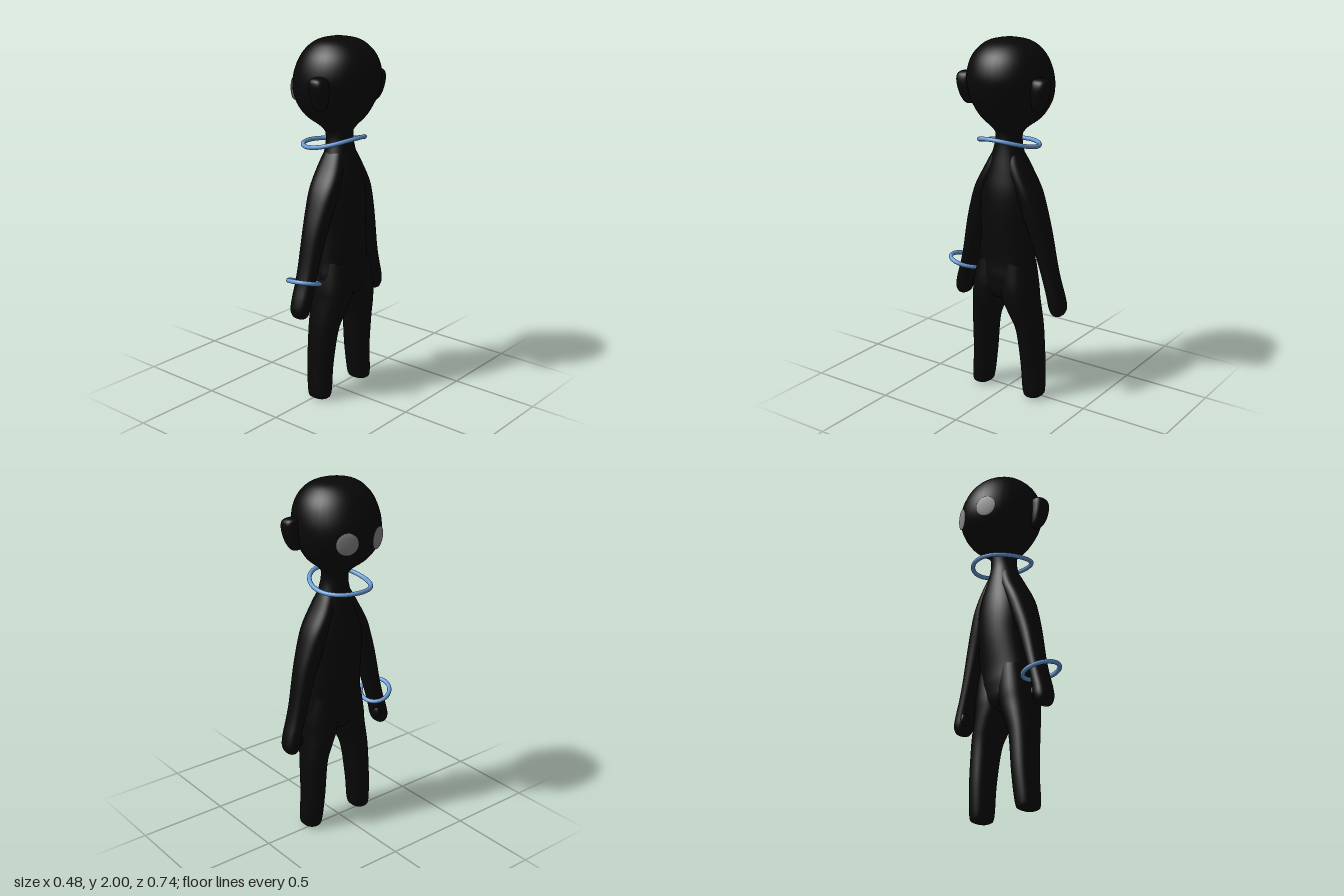
import * as THREE from 'three';

const black = new THREE.MeshStandardMaterial({ color: 0x080808 });
const blue = new THREE.MeshStandardMaterial({ color: 0x6a9fdc });
const grey = new THREE.MeshStandardMaterial({ color: 0x8c8c8c });

// Smooth closed loft through horizontal sections [y, centreX, centreZ, radiusX, radiusZ], bottom to top
function loft(sections, power = 2, steps = 5, sides = 36) {
  const centres = new THREE.CatmullRomCurve3(sections.map(s => new THREE.Vector3(s[1], s[0], s[2])), false, 'catmullrom', 0.5);
  const radii = new THREE.CatmullRomCurve3(sections.map(s => new THREE.Vector3(s[3], 0, s[4])), false, 'catmullrom', 0.5);
  const rows = (sections.length - 1) * steps;
  const pos = [], idx = [];
  const bulge = v => Math.sign(v) * Math.abs(v) ** (2 / power);
  for (let i = 0; i <= rows; i++) {
    const c = centres.getPoint(i / rows), r = radii.getPoint(i / rows);
    for (let j = 0; j < sides; j++) {
      const a = (j / sides) * Math.PI * 2;
      pos.push(c.x + Math.max(r.x, 0.0005) * bulge(Math.cos(a)), c.y, c.z + Math.max(r.z, 0.0005) * bulge(Math.sin(a)));
      if (i < rows) {
        const p = i * sides + j, q = i * sides + ((j + 1) % sides);
        idx.push(p, p + sides, q, q, p + sides, q + sides);
      }
    }
  }
  const g = new THREE.BufferGeometry();
  g.setAttribute('position', new THREE.Float32BufferAttribute(pos, 3));
  g.setIndex(idx);
  g.computeVertexNormals();
  return g;
}

// Closed, slightly bent ring from a function of angle
function ring(point) {
  const pts = Array.from({ length: 16 }, (_, i) => new THREE.Vector3(...point((i / 16) * Math.PI * 2)));
  return new THREE.TubeGeometry(new THREE.CatmullRomCurve3(pts, true), 96, 0.012, 12, true);
}

export function createModel() {
  const figure = new THREE.Group();
  figure.name = 'figure';
  figure.position.z = -0.015;

  function add(name, geometry, material = black) {
    const mesh = new THREE.Mesh(geometry, material);
    mesh.name = name;
    figure.add(mesh);
    return mesh;
  }
  function ellipsoid(name, position, scale, material = black) {
    const mesh = add(name, new THREE.SphereGeometry(1, 32, 20), material);
    mesh.position.set(...position);
    mesh.scale.set(...scale);
    return mesh;
  }

  // Head, facing -x
  add('head', loft([
    [1.47, 0.015, 0, 0.06, 0.06],
    [1.52, 0.008, 0, 0.095, 0.09],
    [1.58, -0.005, 0, 0.16, 0.165],
    [1.65, -0.01, 0, 0.207, 0.208],
    [1.72, -0.005, 0, 0.232, 0.226],
    [1.80, 0.005, 0, 0.235, 0.227],
    [1.88, 0.011, 0, 0.209, 0.206],
    [1.94, 0.012, 0, 0.165, 0.165],
    [1.98, 0.01, 0, 0.1, 0.107],
    [2.0, 0.005, 0, 0, 0],
  ], 2.05));

  // Neck and torso
  add('torso', loft([
    [0.56, 0.04, 0, 0, 0],
    [0.6, 0.042, 0, 0.09, 0.15],
    [0.7, 0.04, 0, 0.112, 0.178],
    [0.8, 0.033, 0, 0.113, 0.168],
    [0.97, 0.024, 0, 0.125, 0.156],
    [1.1, 0.021, 0, 0.127, 0.16],
    [1.2, 0.021, 0, 0.119, 0.15],
    [1.3, 0.021, 0, 0.1, 0.118],
    [1.4, 0.021, 0, 0.079, 0.084],
    [1.47, 0.017, 0, 0.074, 0.07],
    [1.55, 0.012, 0, 0.08, 0.08],
  ], 2.1));

  for (const s of [1, -1]) {
    const side = s > 0 ? 'Right' : 'Left';

    add('leg' + side, loft([
      [0, 0.02, s * 0.175, 0, 0],
      [0.006, 0.02, s * 0.175, 0.05, 0.038],
      [0.04, 0.02, s * 0.173, 0.066, 0.057],
      [0.2, 0.015, s * 0.162, 0.074, 0.062],
      [0.4, 0.025, s * 0.147, 0.086, 0.068],
      [0.5, 0.035, s * 0.123, 0.1, 0.081],
      [0.58, 0.042, s * 0.1, 0.11, 0.093],
      [0.66, 0.042, s * 0.09, 0.113, 0.094],
      [0.8, 0.035, s * 0.08, 0.1, 0.08],
    ], 2.4));

    add('arm' + side, loft([
      [0.515, 0.005, s * 0.318, 0, 0],
      [0.522, 0.005, s * 0.317, 0.038, 0.026],
      [0.56, 0.005, s * 0.314, 0.055, 0.044],
      [0.62, 0.008, s * 0.303, 0.058, 0.044],
      [0.7, 0.01, s * 0.28, 0.058, 0.042],
      [0.8, 0.012, s * 0.252, 0.06, 0.045],
      [0.97, 0.017, s * 0.207, 0.07, 0.055],
      [1.1, 0.02, s * 0.165, 0.082, 0.06],
      [1.2, 0.021, s * 0.13, 0.088, 0.058],
      [1.3, 0.021, s * 0.08, 0.082, 0.053],
      [1.39, 0.021, s * 0.04, 0.06, 0.045],
      [1.44, 0.02, s * 0.02, 0.03, 0.03],
    ], 2.4));

    ellipsoid('thumb' + side, [-0.02, 0.592, s * 0.274], [0.028, 0.037, 0.017]);

    // Upright ear, wider toward the top
    add('ear' + side, loft([
      [1.635, 0.07, s * 0.215, 0, 0],
      [1.645, 0.07, s * 0.217, 0.028, 0.025],
      [1.69, 0.075, s * 0.228, 0.044, 0.038],
      [1.75, 0.078, s * 0.235, 0.05, 0.046],
      [1.79, 0.075, s * 0.235, 0.046, 0.046],
      [1.808, 0.07, s * 0.23, 0.03, 0.033],
      [1.813, 0.07, s * 0.228, 0, 0],
    ], 2.6));

    // Flat oval eye lying on the front of the head
    const eye = ellipsoid('eye' + side, [-0.214, 1.71, s * 0.1], [0.007, 0.06, 0.06], grey);
    eye.rotation.set(0, s * 0.43, 0.08);
  }

  // Loose bent ring around the neck
  add('collar', ring(a => {
    const c = Math.cos(a);
    return [-0.01 + 0.17 * c, 1.428 + 0.028 * c + 0.022 * c * c, 0.016 + 0.158 * Math.sin(a)];
  }), blue);

  // Tilted ring around one wrist
  add('bracelet', ring(a => [
    0.012 + 0.097 * Math.cos(a),
    0.716 + 0.014 * Math.cos(a) + 0.026 * Math.sin(a),
    0.29 + 0.083 * Math.sin(a + 0.15),
  ]), blue);

  const model = new THREE.Group();
  model.name = 'model';
  model.add(figure);
  return model;
}
